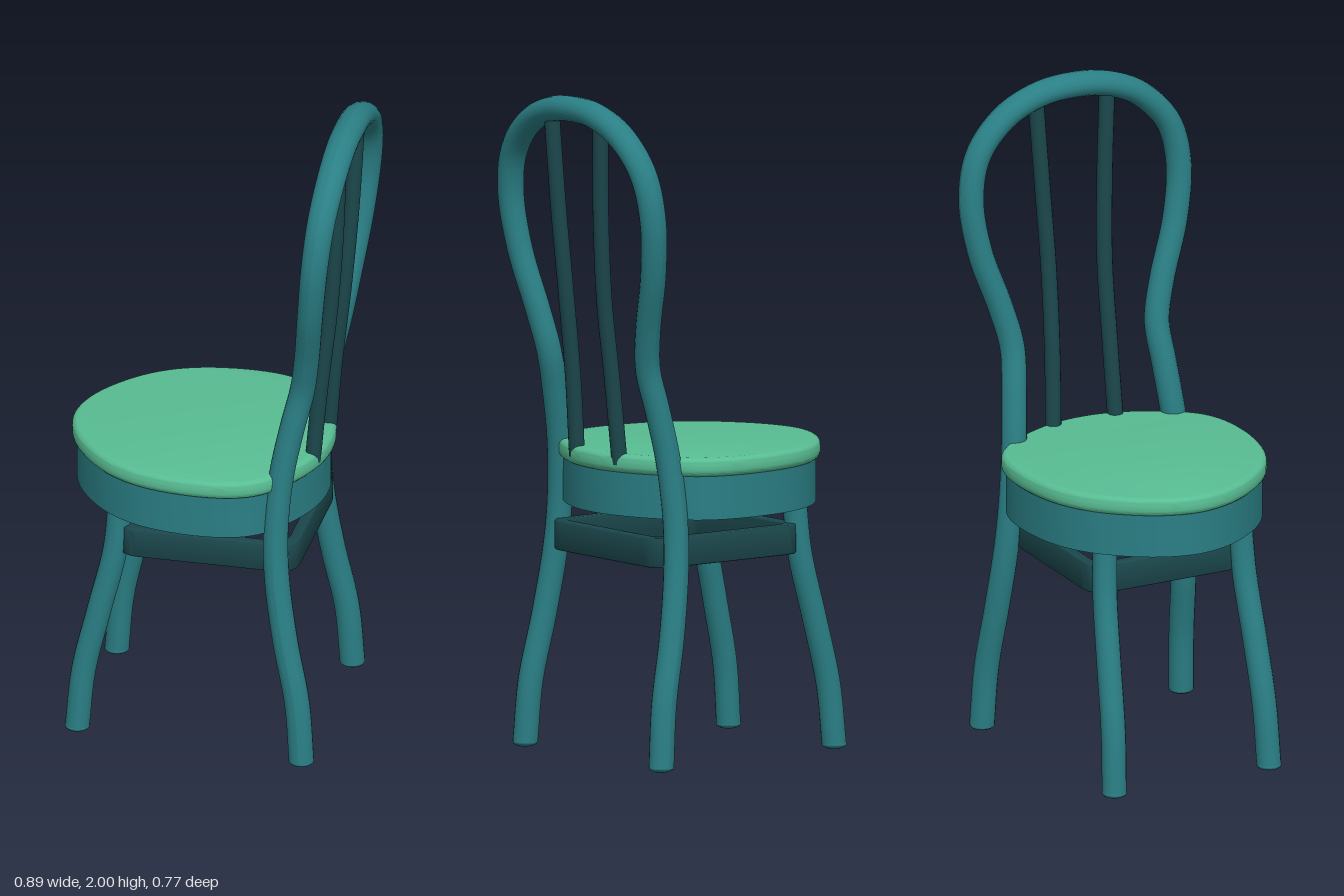
import * as THREE from 'three';
import { toCreasedNormals } from 'three/addons/utils/BufferGeometryUtils.js';

const frameMat = new THREE.MeshStandardMaterial({ color: 0x2a7f85 });
const darkMat = new THREE.MeshStandardMaterial({ color: 0x1b474c });
const seatMat = new THREE.MeshStandardMaterial({ color: 0x58bd93 });

const v = (p) => new THREE.Vector3(...p);

function add(parent, name, geometry, material) {
  const mesh = new THREE.Mesh(geometry, material);
  mesh.name = name;
  parent.add(mesh);
  return mesh;
}

// Round rod along a spline; widen(t) stretches the section along x
function rod(points, radius, segments, widen = () => 1) {
  const curve = new THREE.CatmullRomCurve3(points.map(v), false, 'centripetal');
  const sides = 16;
  const geo = new THREE.TubeGeometry(curve, segments, radius, sides);
  const pos = geo.attributes.position;
  for (let i = 0; i < pos.count; i++) {
    const t = Math.floor(i / (sides + 1)) / segments;
    const c = curve.getPointAt(t);
    pos.setX(i, c.x + (pos.getX(i) - c.x) * widen(t));
  }
  geo.computeVertexNormals();
  return geo;
}

// Flat shape raised along y from y0 to y1 with rounded rims
function slab(shape, y0, y1, bevel) {
  const geo = new THREE.ExtrudeGeometry(shape, {
    depth: y1 - y0 - 2 * bevel, curveSegments: 12,
    bevelEnabled: bevel > 0, bevelSize: bevel, bevelOffset: -bevel, bevelThickness: bevel, bevelSegments: 5,
  });
  geo.rotateX(-Math.PI / 2).translate(0, y0 + bevel, 0);
  return toCreasedNormals(geo, 0.6);
}

// Seat outline, wide at the middle and narrowing to the back
function seatShape(scale) {
  const half = [[-0.425, 0.1], [-0.37, 0.2], [-0.275, 0.3], [-0.16, 0.36], [0, 0.385],
    [0.13, 0.37], [0.21, 0.325], [0.29, 0.21], [0.333, 0.1]];
  const loop = [[-0.445, 0], ...half.map(([x, z]) => [x, -z]), [0.345, 0], ...[...half].reverse()];
  const curve = new THREE.CatmullRomCurve3(loop.map(([x, z]) => new THREE.Vector3(x, z, 0)), true);
  const cx = -0.05;
  return new THREE.Shape(curve.getPoints(96).slice(0, -1)
    .map((p) => new THREE.Vector2(cx + (p.x - cx) * scale, p.y * scale)));
}

function roundedRect(path, x0, x1, h, r) {
  path.moveTo(x0 + r, -h).lineTo(x1 - r, -h).quadraticCurveTo(x1, -h, x1, -h + r)
    .lineTo(x1, h - r).quadraticCurveTo(x1, h, x1 - r, h)
    .lineTo(x0 + r, h).quadraticCurveTo(x0, h, x0, h - r)
    .lineTo(x0, -h + r).quadraticCurveTo(x0, -h, x0 + r, -h);
  return path;
}

function foot(parent, x, z) {
  const geo = new THREE.SphereGeometry(0.038, 16, 10).scale(1, 0.4, 1);
  add(parent, 'footTip', geo, frameMat).position.set(x, 0.0152, z);
}

export function createModel() {
  const chair = new THREE.Group();
  chair.name = 'chair';

  // Seat board and the apron under it
  add(chair, 'seat', slab(seatShape(1), 0.875, 0.932, 0.02), seatMat);
  add(chair, 'apron', slab(seatShape(0.965), 0.745, 0.885, 0), frameMat);

  // Stretcher ring joining the legs
  const ring = roundedRect(new THREE.Shape(), -0.255, 0.295, 0.272, 0.07);
  ring.holes.push(roundedRect(new THREE.Path(), -0.22, 0.26, 0.237, 0.05));
  add(chair, 'stretcherRing', slab(ring, 0.6, 0.69, 0.006), darkMat);

  // Back legs and backrest hoop bent from one rod
  const side = [[0.327, 0.015, 0.335], [0.312, 0.2, 0.328], [0.272, 0.4, 0.314], [0.243, 0.6, 0.297],
    [0.237, 0.75, 0.284], [0.25, 0.92, 0.268], [0.28, 1.08, 0.252], [0.308, 1.2, 0.243],
    [0.328, 1.32, 0.27], [0.352, 1.5, 0.328], [0.37, 1.67, 0.349], [0.382, 1.8, 0.318],
    [0.391, 1.9, 0.225], [0.394, 1.95, 0.11]];
  const hoop = [...side, [0.395, 1.961, 0], ...[...side].reverse().map(([x, y, z]) => [x, y, -z])];
  const widen = (t) => 1 + 0.2 * THREE.MathUtils.smoothstep(1 - Math.abs(2 * t - 1), 0.6, 1);
  add(chair, 'backHoop', rod(hoop, 0.038, 180, widen), frameMat);

  for (const s of [1, -1]) {
    foot(chair, 0.327, 0.335 * s);

    // Splayed front leg
    const leg = [[-0.375, 0.015, 0.26], [-0.357, 0.2, 0.254], [-0.312, 0.4, 0.245],
      [-0.266, 0.6, 0.234], [-0.25, 0.78, 0.226]].map(([x, y, z]) => [x, y, z * s]);
    add(chair, 'frontLeg', rod(leg, 0.037, 40), frameMat);
    foot(chair, -0.375, 0.26 * s);

    // Backrest spindle
    const spindle = [[0.308, 0.9, 0.105], [0.33, 1.15, 0.097], [0.358, 1.4, 0.094],
      [0.378, 1.65, 0.104], [0.392, 1.94, 0.12]].map(([x, y, z]) => [x, y, z * s]);
    add(chair, 'backSpindle', rod(spindle, 0.024, 40), darkMat);
  }
  return chair;
}
